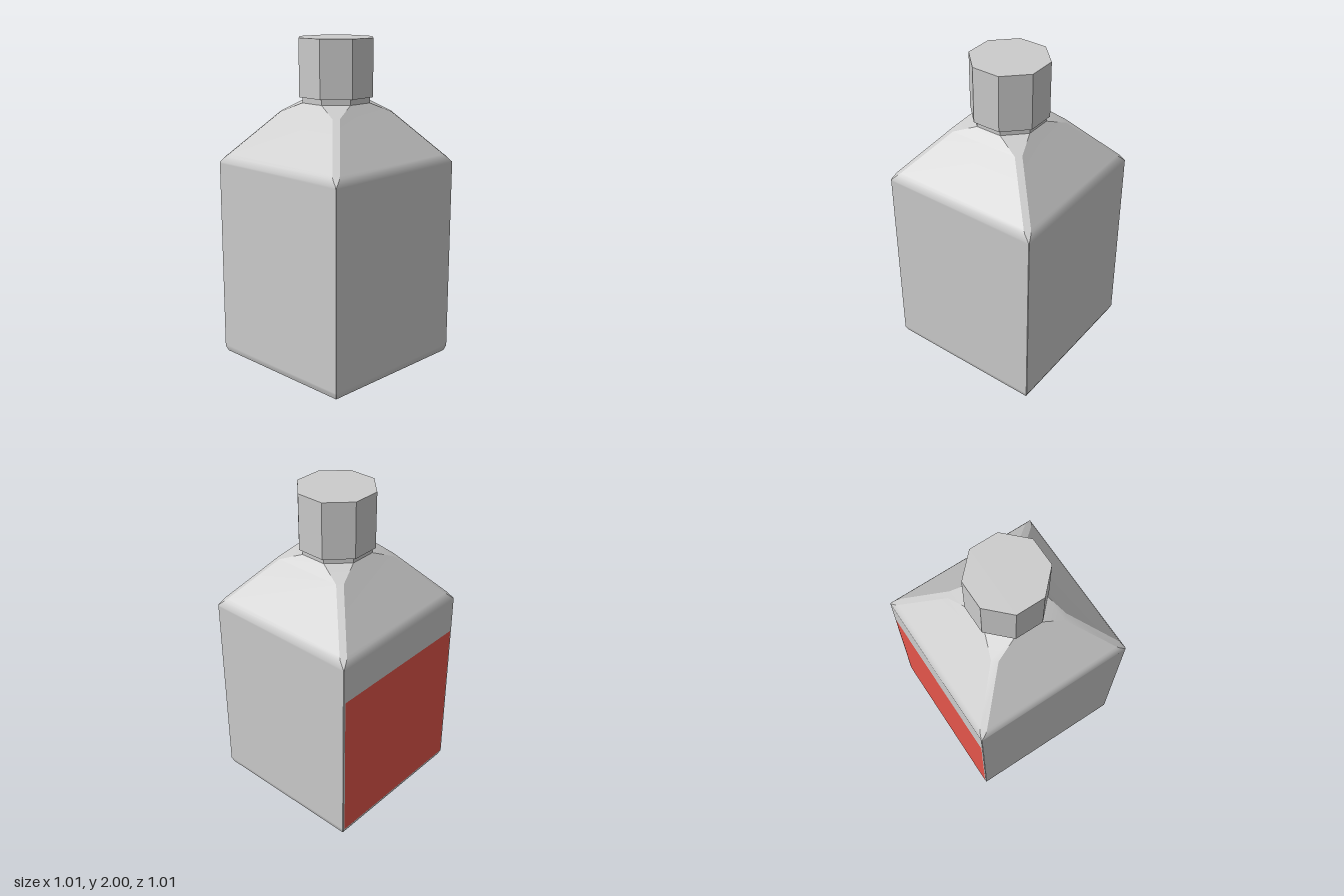
import * as THREE from 'three';
import { toCreasedNormals } from 'three/addons/utils/BufferGeometryUtils.js';

// Stack of square rings with cut corners; each ring is [y, half width, half length of flat side].
function loft(rings, crease) {
  const positions = [];
  const index = [];
  for (const [y, a, b] of rings) {
    const corners = [[a, -b], [a, b], [b, a], [-b, a], [-a, b], [-a, -b], [-b, -a], [b, -a]];
    for (const [x, z] of corners) positions.push(x, y, z);
  }
  for (let r = 0; r < rings.length - 1; r++) {
    for (let i = 0; i < 8; i++) {
      const p = r * 8 + i;
      const q = r * 8 + (i + 1) % 8;
      index.push(p, p + 8, q, q, p + 8, q + 8);
    }
  }
  // Close both ends
  const top = (rings.length - 1) * 8;
  for (let i = 1; i < 7; i++) {
    index.push(0, i, i + 1);
    index.push(top, top + i + 1, top + i);
  }
  const geometry = new THREE.BufferGeometry();
  geometry.setAttribute('position', new THREE.Float32BufferAttribute(positions, 3));
  geometry.setIndex(index);
  return toCreasedNormals(geometry, crease);
}

export function createModel() {
  const group = new THREE.Group();
  const grey = new THREE.MeshStandardMaterial({ color: 0xcccccc });
  const red = new THREE.MeshStandardMaterial({ color: 0xe4554b });
  const crease = THREE.MathUtils.degToRad(30);

  const add = (name, geometry, material) => {
    const mesh = new THREE.Mesh(geometry, material);
    mesh.name = name;
    group.add(mesh);
    return mesh;
  };

  // Square body, softened shoulder, sloping to an eight-sided neck
  add('bottleBody', loft([
    [0, 0.47, 0.468],
    [0.012, 0.49, 0.487],
    [0.045, 0.503, 0.5],
    [0.055, 0.503, 0.5],
    [1.24, 0.503, 0.5],
    [1.25, 0.503, 0.499],
    [1.285, 0.487, 0.462],
    [1.3, 0.474, 0.446],
    [1.56, 0.25, 0.22],
    [1.62, 0.2, 0.082],
    [1.66, 0.2, 0.082],
  ], crease), grey);

  // Eight-sided screw cap
  add('cap', loft([
    [1.655, 0.22, 0.088],
    [2, 0.22, 0.088],
  ], crease), grey);

  // Flat label on the back wall
  const label = add('label', new THREE.PlaneGeometry(0.98, 0.97), red);
  label.rotation.y = Math.PI;
  label.position.set(0, 0.535, -0.5045);

  return group;
}
